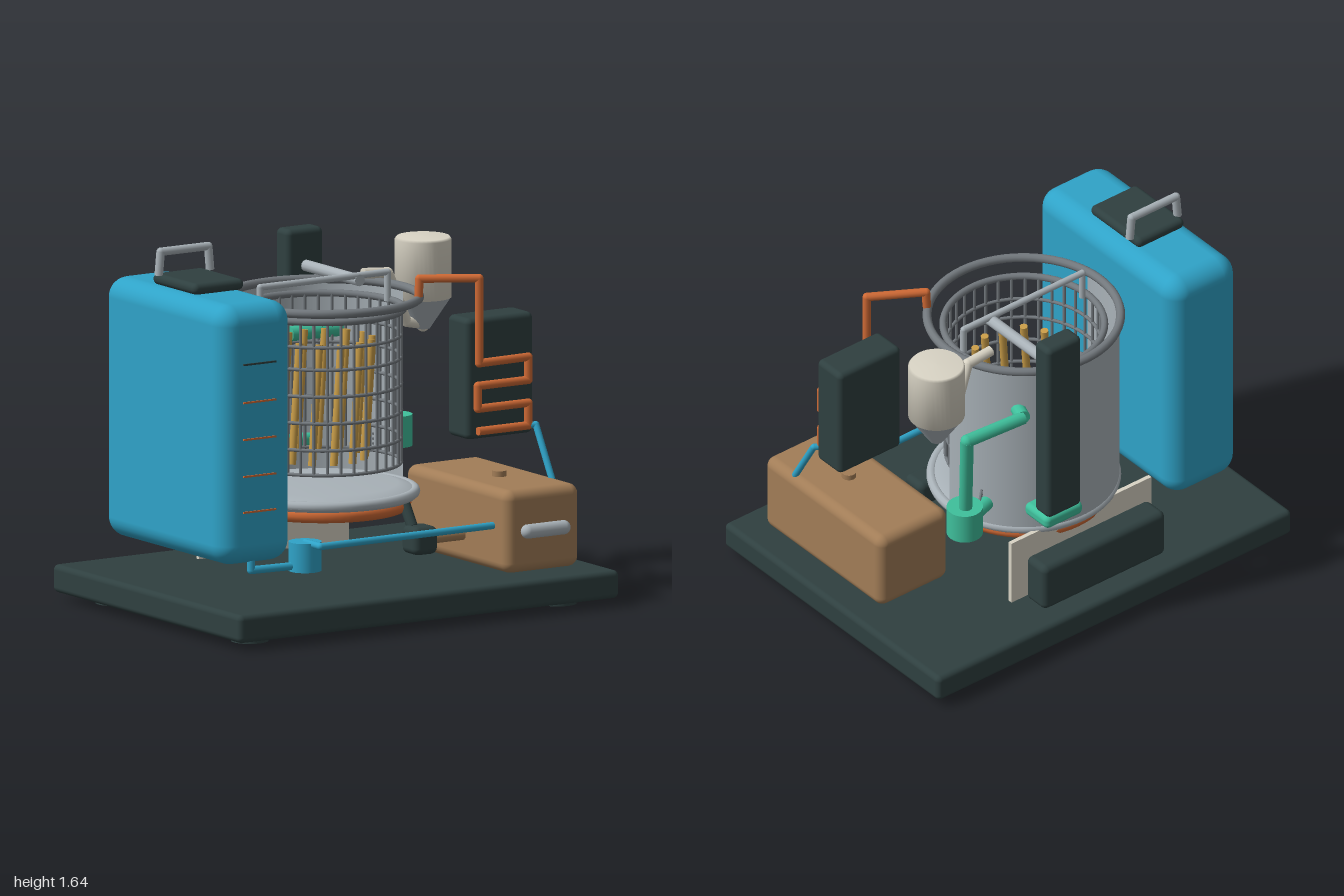
import * as THREE from 'three';
import { mergeGeometries } from 'three/addons/utils/BufferGeometryUtils.js';
import { RoundedBoxGeometry } from 'three/addons/geometries/RoundedBoxGeometry.js';

const material = (name, color, side = THREE.FrontSide) => {
  const m = new THREE.MeshStandardMaterial({ color, side });
  m.name = name;
  return m;
};

export function createModel() {
  const model = new THREE.Group();
  const dark = material('dark slate', 0x2f4040);
  const blue = material('water blue', 0x2fa3c8);
  const copper = material('copper', 0xd06a35);
  const tan = material('tan', 0xa27d57);
  const cream = material('cream', 0xd9d4c5);
  const green = material('dosing green', 0x3fc09c);
  const steel = material('steel', 0xa9b2b8, THREE.DoubleSide);
  const wire = material('wire grey', 0x73797e);
  const gold = material('gold', 0xc99d48);

  const add = (name, geometry, mat, x = 0, y = 0, z = 0) => {
    const mesh = new THREE.Mesh(geometry, mat);
    mesh.name = name;
    mesh.position.set(x, y, z);
    model.add(mesh);
    return mesh;
  };

  // Rounded box given by its extents on each axis
  const box = (name, mat, [x0, x1], [y0, y1], [z0, z1], r) =>
    add(name, new RoundedBoxGeometry(x1 - x0, y1 - y0, z1 - z0, 4, r), mat,
      (x0 + x1) / 2, (y0 + y1) / 2, (z0 + z1) / 2);

  const cylinder = (name, mat, r, y0, y1, x, z, sides = 32) =>
    add(name, new THREE.CylinderGeometry(r, r, y1 - y0, sides), mat, x, (y0 + y1) / 2, z);

  // Straight round bar between two points
  const rodGeometry = (a, b, r, sides = 12) => {
    const dir = b.clone().sub(a);
    const g = new THREE.CylinderGeometry(r, r, dir.length(), sides);
    g.applyQuaternion(new THREE.Quaternion().setFromUnitVectors(
      new THREE.Vector3(0, 1, 0), dir.normalize()));
    const mid = a.clone().add(b).multiplyScalar(0.5);
    return g.translate(mid.x, mid.y, mid.z);
  };

  // Bent pipe: bars joined by ball elbows
  const pipe = (name, mat, r, points) => {
    const p = points.map(q => new THREE.Vector3(...q));
    const parts = [];
    p.forEach((q, i) => {
      if (i > 0) parts.push(rodGeometry(p[i - 1], q, r));
      if (i > 0 && i < p.length - 1) {
        parts.push(new THREE.SphereGeometry(r, 12, 8).translate(q.x, q.y, q.z));
      }
    });
    return add(name, mergeGeometries(parts), mat);
  };

  const ring = (name, mat, R, r, x, y, z) => {
    const g = new THREE.TorusGeometry(R, r, 10, 64).rotateX(Math.PI / 2);
    return add(name, g, mat, x, y, z);
  };

  // Base plate and feet
  box('base', dark, [-1, 1], [0.035, 0.16], [-0.75, 0.75], 0.025);
  for (const x of [-0.81, 0.81]) for (const z of [-0.54, 0.54]) {
    cylinder('foot', dark, 0.083, 0, 0.04, x, z);
  }

  // Water tank with cap, handle and level marks
  box('waterTank', blue, [-0.88, -0.5], [0.31, 1.47], [-0.54, 0.435], 0.09);
  box('tankCap', dark, [-0.825, -0.56], [1.475, 1.525], [-0.22, 0.125], 0.024);
  pipe('tankHandle', steel, 0.019,
    [[-0.82, 1.52, -0.17], [-0.81, 1.625, -0.17], [-0.56, 1.625, -0.17], [-0.55, 1.52, -0.17]]);
  [0.55, 0.71, 0.875, 1.04, 1.21].forEach((y, i) =>
    add('levelMark', new THREE.BoxGeometry(0.17, 0.008, 0.009), i < 4 ? copper : dark, -0.69, y, 0.437));

  // Water pump and feed line
  cylinder('waterPump', blue, 0.073, 0.25, 0.38, -0.42, 0.39);
  pipe('tankOutlet', blue, 0.018, [[-0.69, 0.34, 0.37], [-0.69, 0.275, 0.37], [-0.42, 0.275, 0.39]]);
  pipe('feedLine', blue, 0.016, [[-0.42, 0.375, 0.39], [-0.42, 0.375, 0.515], [0.52, 0.375, 0.51]]);

  // Open-fronted vessel: wall, sloped floor, rims and heating ring
  const cx = 0.02, cz = -0.135;
  add('vesselWall', new THREE.CylinderGeometry(0.42, 0.42, 0.88, 64, 1, true, Math.PI / 2, Math.PI + 0.16),
    steel, cx, 0.91, cz);
  const floorProfile = [[0, 0.455], [0.41, 0.455], [0.425, 0.47], [0.42, 0.49], [0.33, 0.515], [0, 0.515]];
  add('vesselFloor', new THREE.LatheGeometry(floorProfile.map(p => new THREE.Vector2(...p)), 64), steel, cx, 0, cz);
  ring('vesselFoot', steel, 0.405, 0.023, cx, 0.48, cz);
  ring('vesselRim', wire, 0.425, 0.02, cx, 1.345, cz);
  ring('heatingRing', copper, 0.36, 0.03, cx, 0.43, cz);

  // Wire basket with lifting bail
  [0.61, 0.72, 0.84, 0.96, 1.08, 1.18].forEach(y => ring('basketRing', wire, 0.345, 0.008, cx, y, cz));
  ring('basketRim', wire, 0.355, 0.016, cx, 1.295, cz);
  const wires = [];
  for (let i = 0; i < 36; i++) {
    const a = i * Math.PI / 18;
    wires.push(new THREE.CylinderGeometry(0.007, 0.007, 0.69, 6)
      .translate(Math.sin(a) * 0.345, 0, Math.cos(a) * 0.345));
  }
  add('basketWires', mergeGeometries(wires), wire, cx, 0.95, cz);
  pipe('basketBail', steel, 0.015,
    [[-0.31, 1.29, cz], [-0.31, 1.42, cz], [0.36, 1.42, cz], [0.36, 1.29, cz]]);

  // Ring of leaning rods
  const stalks = [];
  for (let i = 0; i < 13; i++) {
    const a = i / 13 * Math.PI * 2 + 0.2;
    const x = 0.02 + Math.sin(a) * 0.2, z = -0.13 + Math.cos(a) * 0.2;
    stalks.push(rodGeometry(new THREE.Vector3(x - 0.025, 0.63, z + 0.012),
      new THREE.Vector3(x + 0.035, 1.16, z - 0.02), 0.018, 10));
  }
  add('goldRods', mergeGeometries(stalks), gold);

  // Lift column and arm
  box('liftColumn', dark, [0.11, 0.3], [0.65, 1.565], [-0.655, -0.55], 0.025);
  box('columnFoot', green, [0.1, 0.31], [0.595, 0.66], [-0.655, -0.49], 0.025);
  pipe('liftArm', steel, 0.026, [[0.205, 1.4, -0.58], [0.205, 1.4, -0.12]]);

  // Support plate and rear housing
  add('supportPlate', new THREE.BoxGeometry(0.79, 0.32, 0.02), cream, -0.005, 0.32, -0.497);
  box('rearHousing', dark, [-0.35, 0.34], [0.18, 0.41], [-0.675, -0.54], 0.03);

  // Hopper with cone and feed tube
  const hopperProfile = [[0, 1.24], [0.125, 1.24], [0.125, 1.5], [0.117, 1.511], [0, 1.513]];
  add('hopper', new THREE.LatheGeometry(hopperProfile.map(p => new THREE.Vector2(...p)), 40), cream, 0.693, 0, -0.357);
  add('hopperCone', new THREE.CylinderGeometry(0.123, 0.03, 0.14, 40), steel, 0.693, 1.17, -0.357);
  pipe('hopperTube', cream, 0.024,
    [[0.693, 1.12, -0.357], [0.6, 1.14, -0.35], [0.47, 1.38, -0.3], [0.34, 1.39, -0.3]]);
  add('hopperTip', new THREE.SphereGeometry(0.03, 16, 10), cream, 0.693, 1.115, -0.357);

  // Dosing pump and pipes
  cylinder('dosingPump', green, 0.08, 0.58, 0.72, 0.58, -0.415);
  pipe('dosingPipe', green, 0.03, [[0.58, 0.7, -0.42], [0.62, 1.13, -0.48], [0.32, 1.13, -0.5]]);
  pipe('dosingNozzle', green, 0.034, [[0.32, 1.13, -0.5], [0.29, 1.13, -0.42], [0.04, 1.13, -0.43]]);
  pipe('dosingOutlet', green, 0.032, [[0.58, 0.63, -0.415], [0.41, 0.63, -0.36]]);
  for (let i = 0; i < 4; i++) {
    pipe('outletProng', wire, 0.006, [[0.46, 0.6 + i * 0.022, -0.37], [0.4, 0.6 + i * 0.022, -0.31]]);
  }

  // Collecting box with pull, knob and drain valve
  box('collectingBox', tan, [0.49, 0.88], [0.17, 0.54], [-0.2, 0.62], 0.045);
  add('boxPull', new THREE.CapsuleGeometry(0.032, 0.186, 8, 16).rotateZ(Math.PI / 2), steel, 0.682, 0.358, 0.638);
  cylinder('boxKnob', tan, 0.032, 0.53, 0.565, 0.68, 0.27, 24);
  box('drainValve', dark, [0.205, 0.33], [0.235, 0.36], [0.2, 0.325], 0.03);
  pipe('drainPipe', tan, 0.026, [[0.32, 0.298, 0.265], [0.52, 0.298, 0.265]]);
  pipe('drainRiser', dark, 0.025, [[0.25, 0.35, 0.23], [0.25, 0.47, 0.15]]);

  // Condenser panel with serpentine coil and return line
  box('condenserPanel', dark, [0.51, 0.86], [0.715, 1.255], [0.11, 0.275], 0.025);
  pipe('condenserCoil', copper, 0.019, [
    [0.325, 1.36, 0.165], [0.33, 1.44, 0.165], [0.555, 1.44, 0.3], [0.555, 1.06, 0.3],
    [0.82, 1.06, 0.29], [0.82, 0.957, 0.29], [0.555, 0.957, 0.29], [0.555, 0.855, 0.29],
    [0.82, 0.855, 0.29], [0.82, 0.754, 0.29], [0.555, 0.754, 0.29]]);
  pipe('returnLine', blue, 0.015, [[0.82, 0.754, 0.29], [0.85, 0.757, 0.305], [0.85, 0.53, 0.435]]);

  return model;
}
